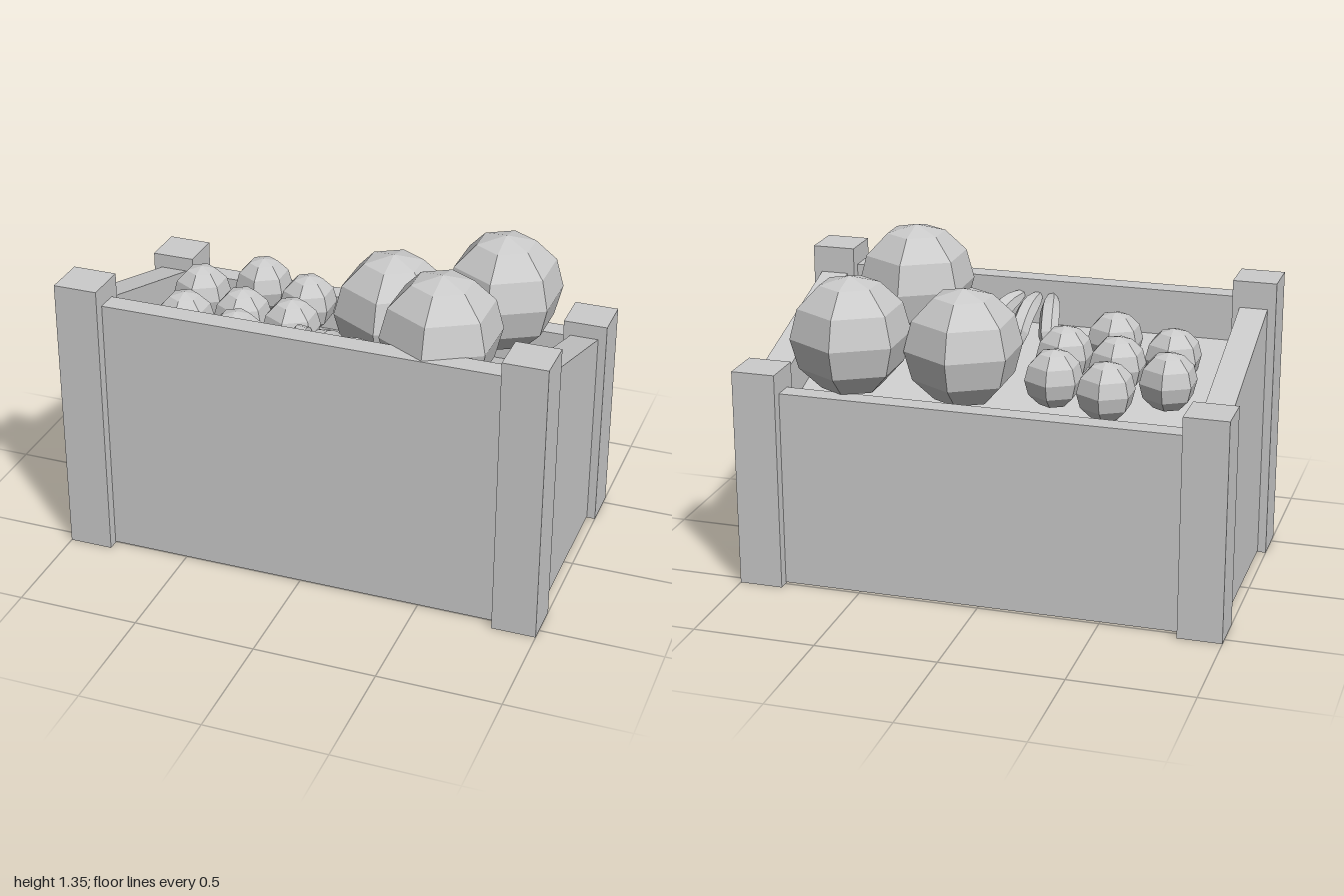
import * as THREE from 'three';

export function createModel() {
  const model = new THREE.Group();
  const mat = new THREE.MeshStandardMaterial({ color: 0xcccccc, flatShading: true });
  const deckMat = new THREE.MeshStandardMaterial({ color: 0xcccccc, flatShading: true, side: THREE.DoubleSide });

  function add(name, geometry, x = 0, y = 0, z = 0, material = mat) {
    const mesh = new THREE.Mesh(geometry, material);
    mesh.name = name;
    mesh.position.set(x, y, z);
    model.add(mesh);
    return mesh;
  }

  function box(name, w, h, d, x, y, z) {
    return add(name, new THREE.BoxGeometry(w, h, d), x, y + h / 2, z);
  }

  // Corner posts, tall in front and short behind
  for (const side of [-1, 1]) {
    box('frontPost', 0.18, 1.18, 0.18, side * 0.91, 0, 0.46);
    box('backPost', 0.18, 0.91, 0.18, side * 0.91, 0, -0.45);
  }

  // Front and back panels
  box('frontPanel', 1.7, 1.095, 0.09, 0, 0.005, 0.46);
  box('backPanel', 1.7, 0.815, 0.085, 0, 0.005, -0.452);

  // Side panels with sloping tops
  const slope = new THREE.Shape();
  slope.moveTo(-0.44, 0.005);
  slope.lineTo(0.45, 0.005);
  slope.lineTo(0.45, 1.093);
  slope.lineTo(-0.44, 0.826);
  slope.closePath();
  const sideGeometry = new THREE.ExtrudeGeometry(slope, { depth: 0.115, bevelEnabled: false });
  sideGeometry.rotateY(-Math.PI / 2);
  for (const side of [-1, 1]) add('sidePanel', sideGeometry, side * 0.908 + 0.0575, 0, 0);

  // Sloping display deck: y = 0.785 + 0.3 z
  const deck = add('deck', new THREE.PlaneGeometry(1.72, 0.9), 0, 0.785, 0, deckMat);
  deck.rotation.x = -Math.PI / 2 - Math.atan(0.3);

  // Round produce, six-sided with a corner facing front
  function ball(name, r, x, y, z) {
    const g = new THREE.SphereGeometry(r, 6, 6);
    g.rotateY(Math.PI / 2);
    add(name, g, x, y, z);
  }
  for (const [x, y, z] of [[0.58, 1.03, -0.31], [0.17, 0.96, -0.125], [0.495, 1.1, 0.255]]) {
    ball('largeFruit', 0.245, x, y, z);
  }
  for (const [x, y, z] of [
    [-0.46, 0.89, -0.285], [-0.67, 0.895, -0.12], [-0.225, 0.89, -0.195], [-0.43, 0.895, 0.02],
    [-0.2, 0.906, 0.06], [-0.63, 0.907, 0.145], [-0.36, 0.92, 0.255],
  ]) {
    ball('smallFruit', 0.12, x, y, z);
  }

  // Bunch of curved fruit: a tube pinched towards both ends
  function curvedFruit(tipX, tipZ, endX) {
    const path = new THREE.CatmullRomCurve3([
      new THREE.Vector3(tipX, 0.855, tipZ),
      new THREE.Vector3(tipX * 0.85 + endX * 0.15, 0.93, tipZ + 0.03),
      new THREE.Vector3((tipX + endX) / 2, 1.0, tipZ + 0.13),
      new THREE.Vector3(endX, 1.03, 0.43),
    ]);
    const rings = 8, sides = 6;
    const g = new THREE.TubeGeometry(path, rings, 0.042, sides);
    const width = [0.02, 0.65, 1, 1, 1, 1, 0.9, 0.7, 0.4];
    const p = g.attributes.position, v = new THREE.Vector3();
    for (let i = 0; i < p.count; i++) {
      const ring = Math.floor(i / (sides + 1));
      const centre = path.getPointAt(ring / rings);
      v.fromBufferAttribute(p, i).sub(centre).multiplyScalar(width[ring]).add(centre);
      p.setXYZ(i, v.x, v.y, v.z);
    }
    add('curvedFruit', g);
  }
  curvedFruit(-0.105, 0.15, -0.045);
  curvedFruit(0.035, 0.15, 0.015);
  curvedFruit(0.18, 0.18, 0.085);

  return model;
}
